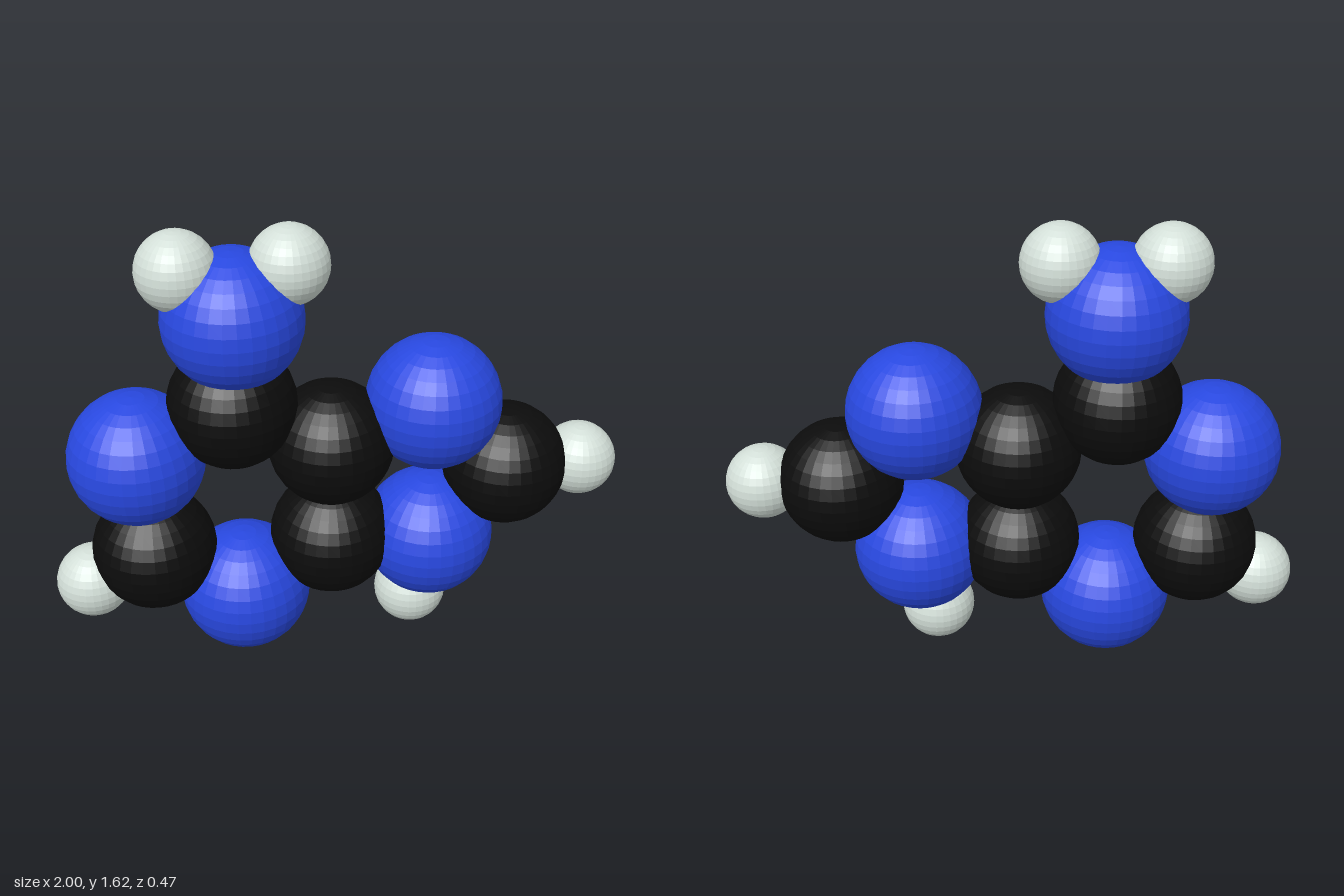
import * as THREE from 'three';

// Space-filling molecule: a fused six- and five-membered ring lying in the z = 0 plane
const ELEMENTS = {
  nitrogen: { radius: 0.233, color: 0x2848e0 },
  carbon: { radius: 0.218, color: 0x0c0c0c },
  hydrogen: { radius: 0.131, color: 0xd3dfd8 },
};

// [element, name, x, y]
const ATOMS = [
  // six-membered ring
  ['carbon', 'upperSharedCarbon', -0.018, 0.82],
  ['carbon', 'lowerSharedCarbon', -0.018, 0.438],
  ['nitrogen', 'bottomNitrogen', -0.333, 0.235],
  ['carbon', 'outerCarbon', -0.645, 0.438],
  ['nitrogen', 'outerNitrogen', -0.677, 0.82],
  ['carbon', 'topCarbon', -0.348, 1.0],
  // five-membered ring
  ['nitrogen', 'upperSideNitrogen', 0.333, 0.952],
  ['carbon', 'sideCarbon', 0.598, 0.679],
  ['nitrogen', 'lowerSideNitrogen', 0.333, 0.409],
  // amino group
  ['nitrogen', 'aminoNitrogen', -0.333, 1.313],
  ['hydrogen', 'aminoHydrogenA', -0.5, 1.489],
  ['hydrogen', 'aminoHydrogenB', -0.148, 1.489],
  // remaining hydrogens
  ['hydrogen', 'outerHydrogen', -0.869, 0.316],
  ['hydrogen', 'sideHydrogen', 0.869, 0.672],
  ['hydrogen', 'lowerHydrogen', 0.275, 0.152],
];

export function createModel() {
  const model = new THREE.Group();
  model.name = 'molecule';

  // one shared geometry and material per element
  const kits = {};
  for (const [element, { radius, color }] of Object.entries(ELEMENTS)) {
    kits[element] = {
      geometry: new THREE.SphereGeometry(radius, 32, 16),
      material: new THREE.MeshStandardMaterial({ color, flatShading: true }),
    };
  }

  for (const [element, name, x, y] of ATOMS) {
    const atom = new THREE.Mesh(kits[element].geometry, kits[element].material);
    atom.name = name;
    atom.position.set(x, y, 0);
    model.add(atom);
  }
  return model;
}
